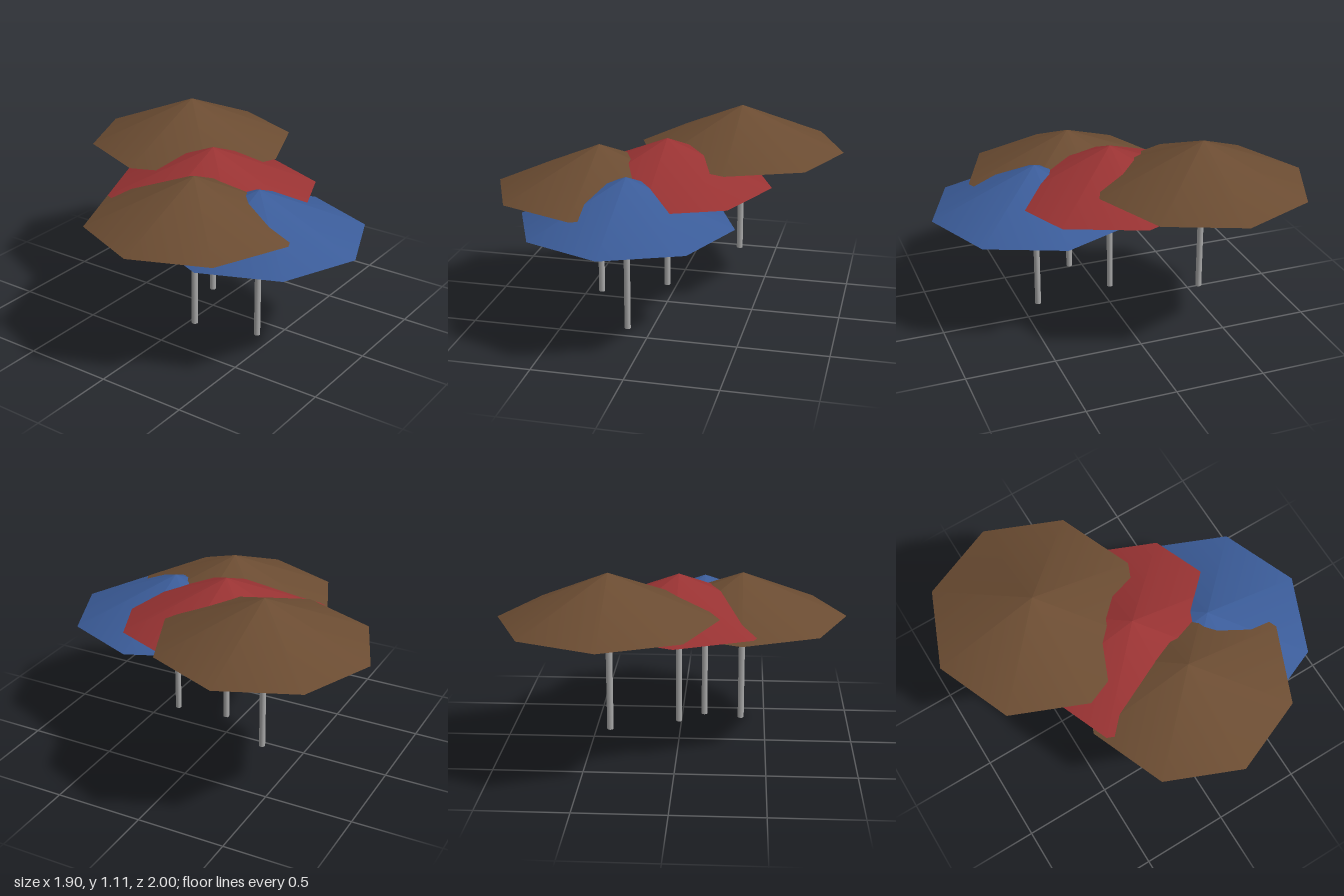
import * as THREE from 'three';

const RADIUS = 0.595, CANOPY_HEIGHT = 0.25, RIM = 0.635, POLE_HEIGHT = 0.735;

export function createModel() {
  const brown = new THREE.MeshStandardMaterial({ color: 0x6b4c32, side: THREE.DoubleSide });
  const red = new THREE.MeshStandardMaterial({ color: 0x993333, side: THREE.DoubleSide });
  const blue = new THREE.MeshStandardMaterial({ color: 0x3b5c99, side: THREE.DoubleSide });
  const metal = new THREE.MeshStandardMaterial({ color: 0xaaaaaa });
  brown.name = 'brown canvas';
  red.name = 'red canvas';
  blue.name = 'blue canvas';
  metal.name = 'grey metal';

  // Hollow eight-sided canopy with its rim above the pole's foot
  const canopyGeometry = new THREE.ConeGeometry(RADIUS, CANOPY_HEIGHT, 8, 1, true)
    .translate(0, RIM + CANOPY_HEIGHT / 2, 0);
  // Pole ending just inside the canopy
  const poleGeometry = new THREE.CylinderGeometry(0.018, 0.018, POLE_HEIGHT, 8)
    .translate(0, POLE_HEIGHT / 2, 0);

  const model = new THREE.Group();
  model.name = 'parasols';

  function addParasol(name, material, x, y, z) {
    const parasol = new THREE.Group();
    parasol.name = name;
    const canopy = new THREE.Mesh(canopyGeometry, material);
    canopy.name = 'canopy';
    const pole = new THREE.Mesh(poleGeometry, metal);
    pole.name = 'pole';
    parasol.add(canopy, pole);
    parasol.position.set(x, y, z);
    model.add(parasol);
  }

  addParasol('frontParasol', blue, -0.135, 0, 0.4);
  addParasol('rightParasol', brown, -0.358, 0.09, 0.13);
  addParasol('middleParasol', red, 0, 0.112, 0);
  addParasol('backParasol', brown, 0.355, 0.22, -0.405);
  return model;
}
